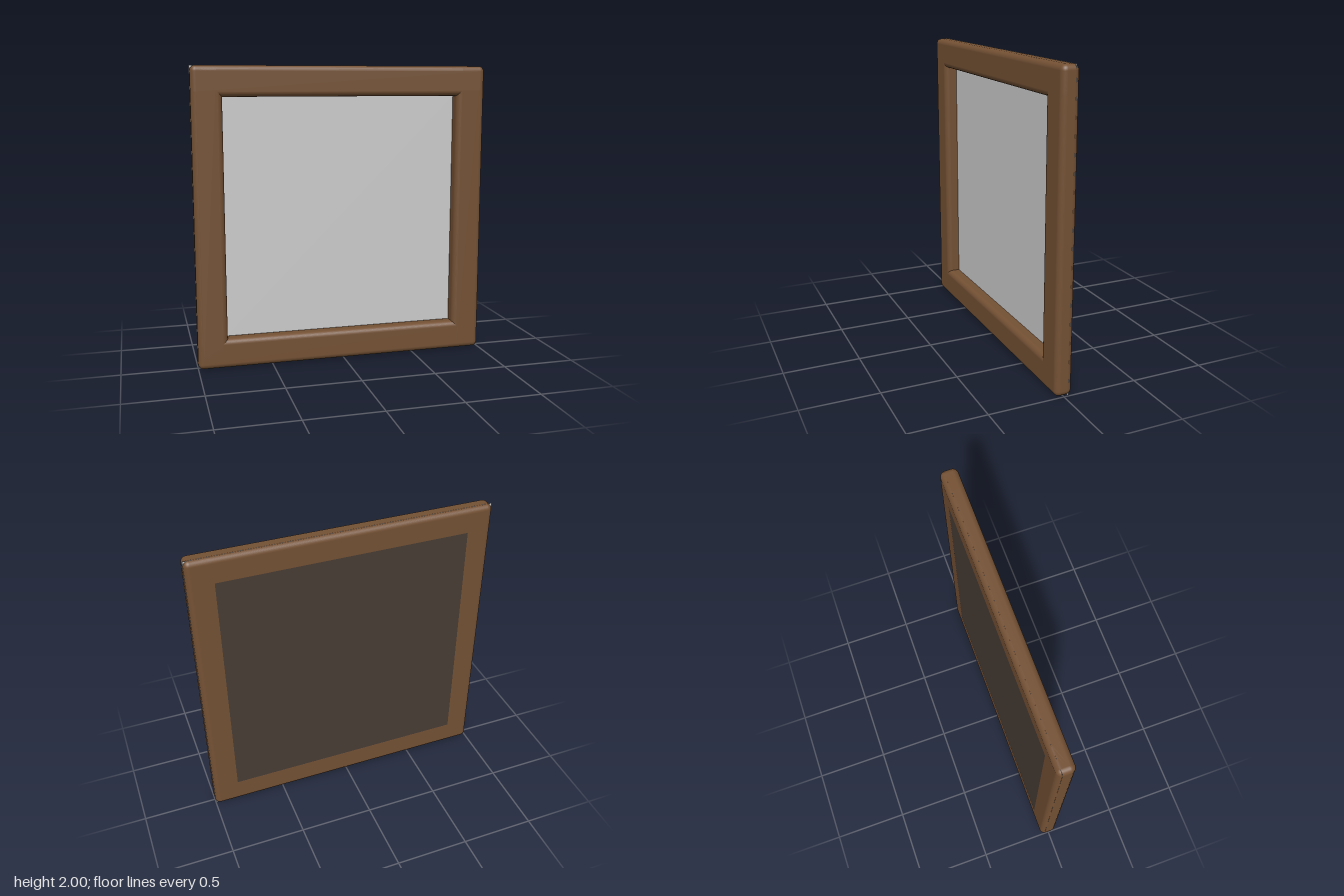
import * as THREE from 'three';
import { RoundedBoxGeometry } from 'three/addons/geometries/RoundedBoxGeometry.js';

const SIZE = 2, BAR = 0.2, DEPTH = 0.115, ROUND = 0.036;

export function createModel() {
  const model = new THREE.Group();
  model.name = 'pictureFrame';

  const wood = new THREE.MeshStandardMaterial({ color: 0x745134 });
  const backing = new THREE.MeshStandardMaterial({ color: 0x473c35 });
  const canvas = new THREE.MeshStandardMaterial({ color: 0xcccccc, side: THREE.DoubleSide });

  const add = (name, geometry, material, x, y, z) => {
    const mesh = new THREE.Mesh(geometry, material);
    mesh.name = name;
    mesh.position.set(x, y, z);
    model.add(mesh);
  };

  // Four rounded bars that overlap at the corners
  const rail = new RoundedBoxGeometry(SIZE, BAR, DEPTH, 4, ROUND);
  const stile = new RoundedBoxGeometry(BAR, SIZE, DEPTH, 4, ROUND);
  const offset = (SIZE - BAR) / 2;
  add('topRail', rail, wood, 0, SIZE / 2 + offset, 0);
  add('bottomRail', rail, wood, 0, SIZE / 2 - offset, 0);
  add('leftStile', stile, wood, offset, SIZE / 2, 0);
  add('rightStile', stile, wood, -offset, SIZE / 2, 0);

  // Picture surface, recessed behind the front lip
  add('picture', new THREE.PlaneGeometry(SIZE, SIZE), canvas, 0, SIZE / 2, -0.03);

  // Backing board, just short of flush with the back of the bars
  add('backingBoard', new THREE.BoxGeometry(1.78, 1.78, 0.02), backing, 0, SIZE / 2, -0.047);

  return model;
}
